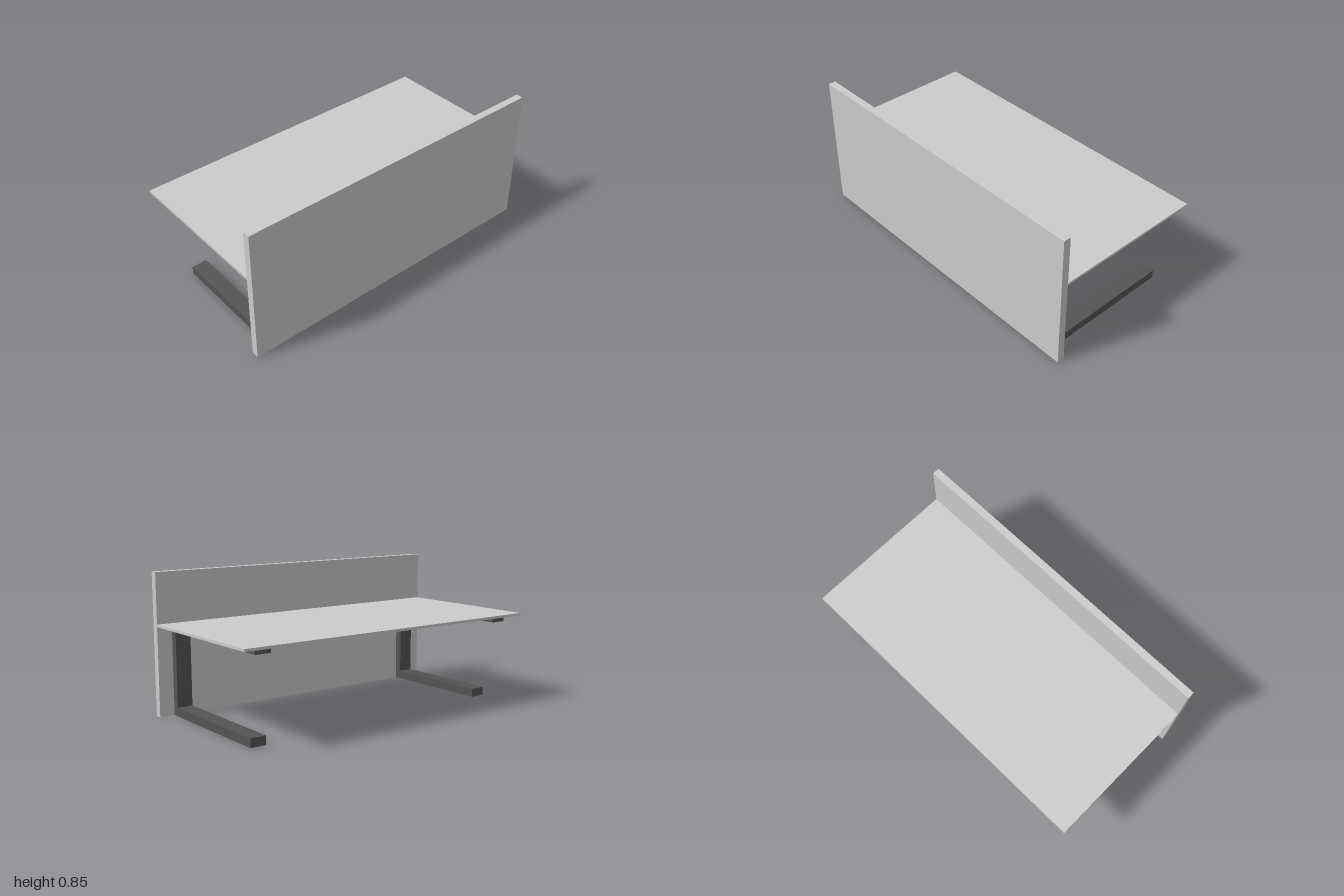
import * as THREE from 'three';

const grey = new THREE.MeshStandardMaterial({ color: 0xcccccc });
const dark = new THREE.MeshStandardMaterial({ color: 0x545454, side: THREE.DoubleSide });

// Box given by its lower and upper corners
function slab(name, a, b) {
  const mesh = new THREE.Mesh(new THREE.BoxGeometry(b[0] - a[0], b[1] - a[1], b[2] - a[2]), grey);
  mesh.position.set((a[0] + b[0]) / 2, (a[1] + b[1]) / 2, (a[2] + b[2]) / 2);
  mesh.name = name;
  return mesh;
}

// C-shaped hollow frame, open along the floor; the foot ends at z = footEnd
function legFrame(name, x, footEnd) {
  const width = 0.095;
  const profile = [
    [0.455, 0], [0.455, 0.533], [-0.45, 0.533], [-0.45, 0.5],
    [0.41, 0.5], [0.41, 0.052], [footEnd, 0.052], [footEnd, 0],
  ];
  // Shape x runs along -z, so that it is turned into place by a quarter turn
  const shape = new THREE.Shape(profile.map(([z, y]) => new THREE.Vector2(-z, y)));
  const solid = new THREE.ExtrudeGeometry(shape, { depth: width, bevelEnabled: false });
  solid.translate(0, 0, -width / 2).rotateY(Math.PI / 2);

  // Leave out the faces lying on the floor
  const p = solid.attributes.position;
  const kept = [];
  for (let i = 0; i < p.count; i += 3) {
    const top = Math.max(p.getY(i), p.getY(i + 1), p.getY(i + 2));
    if (top > 0.001) for (let k = 0; k < 3; k++) kept.push(p.getX(i + k), p.getY(i + k), p.getZ(i + k));
  }
  const shell = new THREE.BufferGeometry();
  shell.setAttribute('position', new THREE.Float32BufferAttribute(kept, 3));
  shell.computeVertexNormals();

  const mesh = new THREE.Mesh(shell, dark);
  mesh.position.x = x;
  mesh.name = name;
  return mesh;
}

export function createModel() {
  const desk = new THREE.Group();
  desk.name = 'desk';
  desk.add(
    slab('frontPanel', [-1, 0, 0.455], [1, 0.85, 0.5]),
    slab('tabletop', [-1, 0.533, -0.5], [1, 0.548, 0.455]),
    legFrame('leftLegFrame', 0.86, -0.39),
    legFrame('rightLegFrame', -0.855, -0.29), // shorter foot
  );
  return desk;
}
